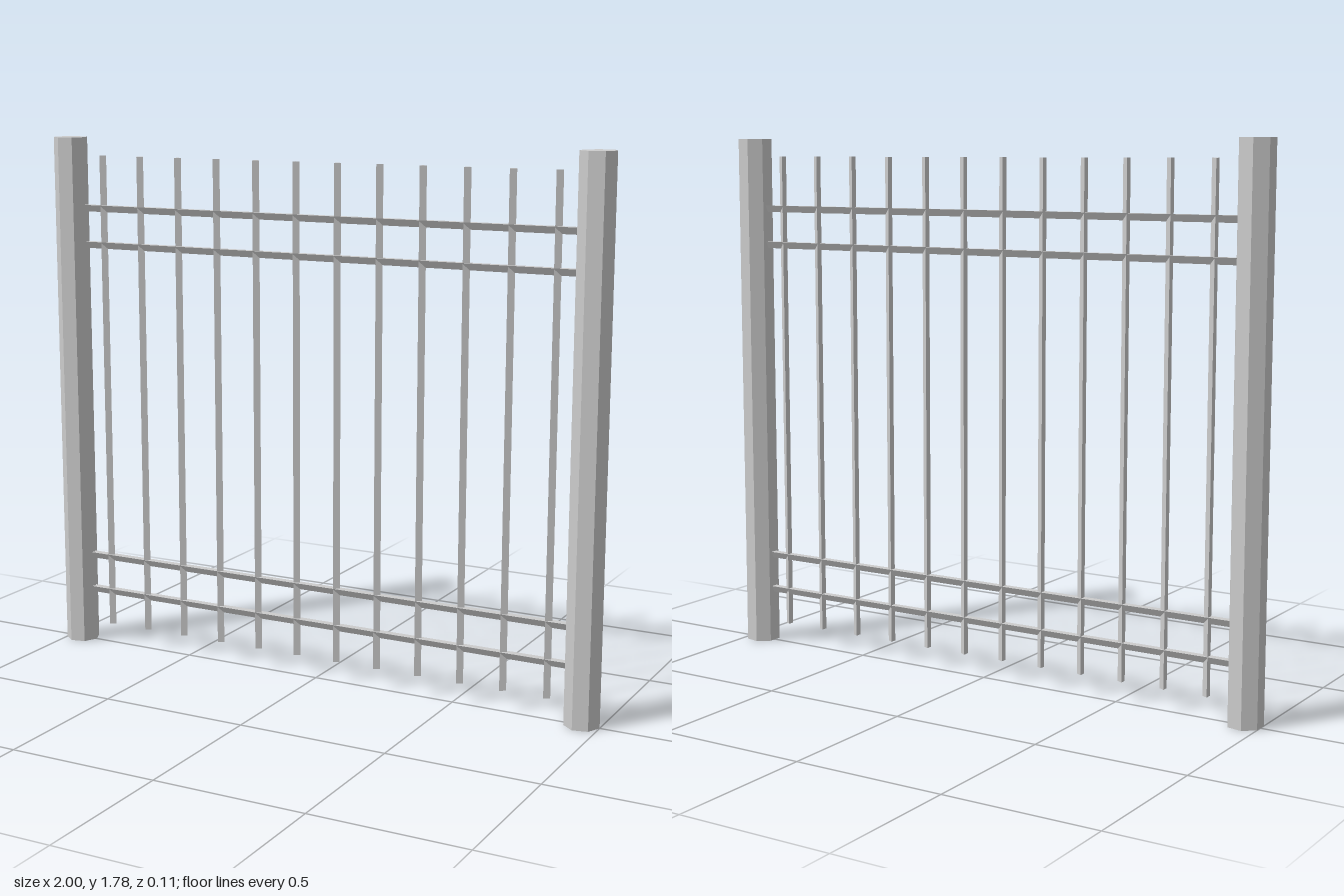
import * as THREE from 'three';

const material = new THREE.MeshStandardMaterial({ color: 0xcccccc, flatShading: true });

// Upright prism with one corner pointing to +x
function prism(name, radius, length, sides) {
  const geometry = new THREE.CylinderGeometry(radius, radius, length, sides, 1, false, Math.PI / 2);
  const mesh = new THREE.Mesh(geometry, material);
  mesh.name = name;
  return mesh;
}

export function createModel() {
  const fence = new THREE.Group();
  fence.name = 'fencePanel';

  // Seven-sided end posts
  const postHeight = 1.78;
  for (const [name, x] of [['rightPost', -0.948], ['leftPost', 0.942]]) {
    const post = prism(name, 0.058, postHeight, 7);
    post.position.set(x, postHeight / 2, 0);
    fence.add(post);
  }

  // Horizontal three-sided rails, flat side up, in a lower and an upper pair
  for (const y of [0.191, 0.316, 1.419, 1.544]) {
    const rail = prism('rail', 0.015, 1.8, 3);
    rail.rotation.z = -Math.PI / 2;
    rail.position.y = y;
    fence.add(rail);
  }

  // Evenly spaced three-sided pickets
  const count = 12, bottom = 0.07, top = 1.72;
  for (let i = 0; i < count; i++) {
    const picket = prism('picket', 0.013, top - bottom, 3);
    picket.position.set(-0.817 + i * 0.149, (top + bottom) / 2, 0);
    fence.add(picket);
  }

  return fence;
}
